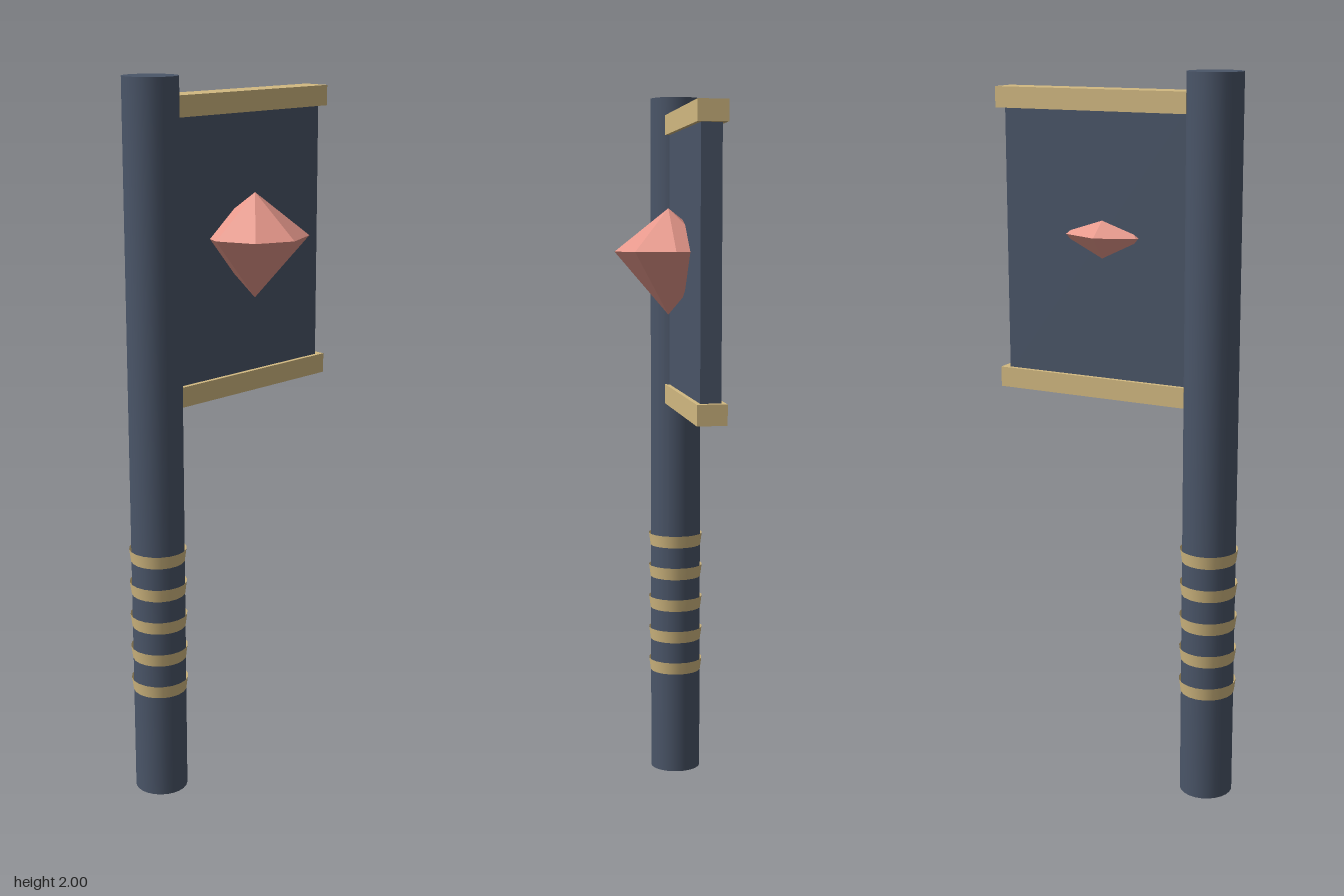
import * as THREE from 'three';

export function createModel() {
  const group = new THREE.Group();
  const slate = new THREE.MeshStandardMaterial({ color: 0x4a5568 });
  slate.name = 'slate';
  const gold = new THREE.MeshStandardMaterial({ color: 0xd2b981, side: THREE.DoubleSide });
  gold.name = 'gold';
  const coral = new THREE.MeshStandardMaterial({ color: 0xe6988b, flatShading: true });
  coral.name = 'coral';

  const poleX = -0.275, poleZ = -0.068;

  function add(name, geometry, material, x, y, z) {
    const mesh = new THREE.Mesh(geometry, material);
    mesh.name = name;
    mesh.position.set(x, y, z);
    group.add(mesh);
    return mesh;
  }

  // Upright pole
  add('pole', new THREE.CylinderGeometry(0.074, 0.074, 2, 24), slate, poleX, 1, poleZ);

  // Open, slightly flared grip rings
  for (let i = 0; i < 5; i++) {
    const ring = new THREE.CylinderGeometry(0.08, 0.075, 0.036, 20, 1, true);
    add('gripRing' + (i + 1), ring, gold, poleX, 0.32 + i * 0.0965, poleZ);
  }

  // Banner panel between two rails
  add('bannerPanel', new THREE.BoxGeometry(0.54, 0.74, 0.056), slate, 0.06, 1.535, poleZ);
  for (const [name, y] of [['topRail', 1.921], ['bottomRail', 1.149]]) {
    add(name, new THREE.BoxGeometry(0.565, 0.056, 0.081), gold, 0.0705, y, poleZ);
  }

  // Eight-sided gem set through the panel: low crown, deep point
  const girdle = 1.565, crown = 0.117, point = 0.172, radius = 0.148;
  add('gemCrown', new THREE.ConeGeometry(radius, crown, 8, 1, true), coral, 0.037, girdle + crown / 2, 0);
  const base = add('gemPoint', new THREE.ConeGeometry(radius, point, 8, 1, true), coral, 0.037, girdle - point / 2, 0);
  base.rotation.x = Math.PI;

  return group;
}
